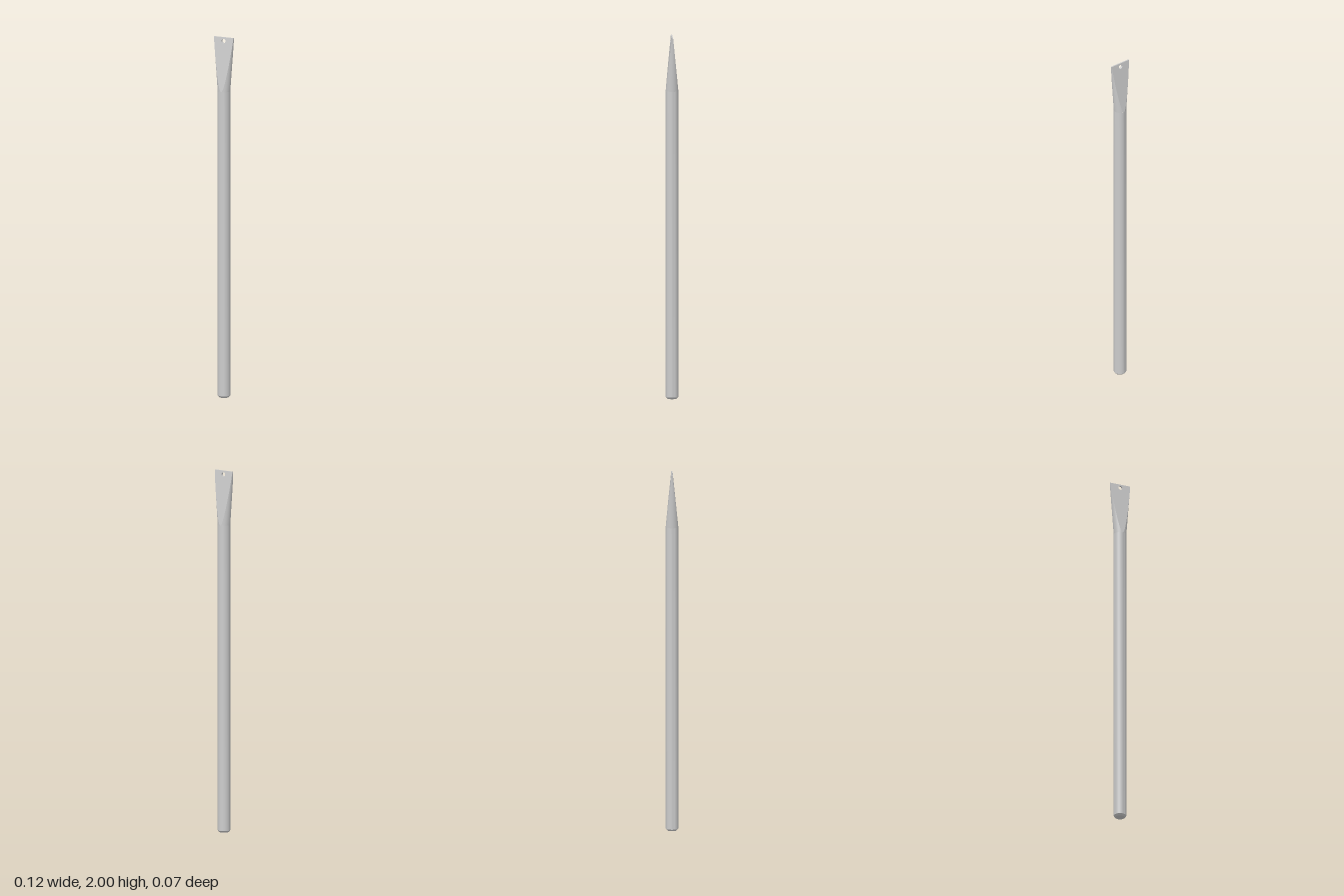
import * as THREE from 'three';
import { toCreasedNormals } from 'three/addons/utils/BufferGeometryUtils.js';

const R = 0.0345;            // tube radius
const Y0 = 1.7, Y1 = 2;      // flattened zone
const W = 0.06, D = 0.0035;  // half width and half thickness at the tip
const HOLE_Y = 1.979, HOLE_R = 0.012;
const STEPS = 20;

// Flared tube section, clipped between two converging flats
const lerp = THREE.MathUtils.lerp;
const level = (y) => THREE.MathUtils.clamp((y - Y0) / (Y1 - Y0), 0, 1);
const flare = (t) => lerp(R, W, t);
const depth = (t) => lerp(R, D, t);
const flatHalf = (t) => flare(t) * Math.sqrt(Math.max(0, 1 - (depth(t) / R) ** 2));

// Moves every vertex by a rule, then refreshes normals
function reshape(geo, rule) {
  const p = geo.attributes.position, uv = geo.attributes.uv;
  for (let i = 0; i < p.count; i++) {
    p.setXYZ(i, ...rule(p.getX(i), p.getY(i), p.getZ(i), uv.getX(i), uv.getY(i)));
  }
  geo.computeVertexNormals();
  return geo;
}

// Planar face with the bolt hole
function flatGeometry() {
  const pts = [];
  for (let i = 0; i <= STEPS; i++) {
    const t = (i / STEPS) ** 2;
    pts.push(new THREE.Vector2(flatHalf(t), lerp(Y0, Y1, t)));
  }
  for (let i = STEPS; i > 0; i--) {
    const t = (i / STEPS) ** 2;
    pts.push(new THREE.Vector2(-flatHalf(t), lerp(Y0, Y1, t)));
  }
  const shape = new THREE.Shape(pts);
  const hole = new THREE.Path();
  hole.absarc(0, HOLE_Y, HOLE_R, 0, Math.PI * 2, true);
  shape.holes.push(hole);
  return reshape(new THREE.ShapeGeometry(shape, 16), (x, y) => [x, y, depth(level(y))]);
}

// Rounded side that narrows from a half circle to a thin edge
function sideGeometry() {
  return reshape(new THREE.PlaneGeometry(1, 1, 16, STEPS), (x, y, z, u, v) => {
    const t = v * v;
    const a = Math.asin(depth(t) / R) * (1 - 2 * u);
    return [flare(t) * Math.cos(a), lerp(Y0, Y1, t), R * Math.sin(a)];
  });
}

export function createModel() {
  const group = new THREE.Group();
  group.name = 'flattenedTube';
  const mat = new THREE.MeshStandardMaterial({ color: 0xcccccc });
  const inner = new THREE.MeshStandardMaterial({ color: 0xcccccc, side: THREE.DoubleSide });
  const add = (parent, name, geo, material = mat) => {
    const m = new THREE.Mesh(geo, material);
    m.name = name;
    parent.add(m);
    return m;
  };

  // Round shaft with a chamfered foot
  const profile = [[0, 0], [0.026, 0], [R, 0.01], [R, Y0]].map(([x, y]) => new THREE.Vector2(x, y));
  add(group, 'shaft', toCreasedNormals(new THREE.LatheGeometry(profile, 32), 0.5));

  // Flattened end, turned slightly about the shaft
  const blade = new THREE.Group();
  blade.name = 'flattenedEnd';
  blade.rotation.y = -0.27;
  group.add(blade);

  const flat = flatGeometry(), side = sideGeometry();
  [['front', 'left', 0], ['back', 'right', Math.PI]].forEach(([f, s, turn]) => {
    add(blade, f + 'Flat', flat).rotation.y = turn;
    add(blade, s + 'Edge', side).rotation.y = turn;
  });

  // Tip face
  const tip = add(blade, 'tip', new THREE.PlaneGeometry(2 * W, 2 * D));
  tip.rotation.x = -Math.PI / 2;
  tip.position.y = Y1;

  // Wall of the bolt hole, trimmed to the sloping flats
  const wall = new THREE.CylinderGeometry(HOLE_R, HOLE_R, 1, 32, 1, true);
  wall.rotateX(Math.PI / 2);
  wall.translate(0, HOLE_Y, 0);
  add(blade, 'boltHole', reshape(wall, (x, y, z) => [x, y, Math.sign(z) * depth(level(y))]), inner);

  return group;
}
